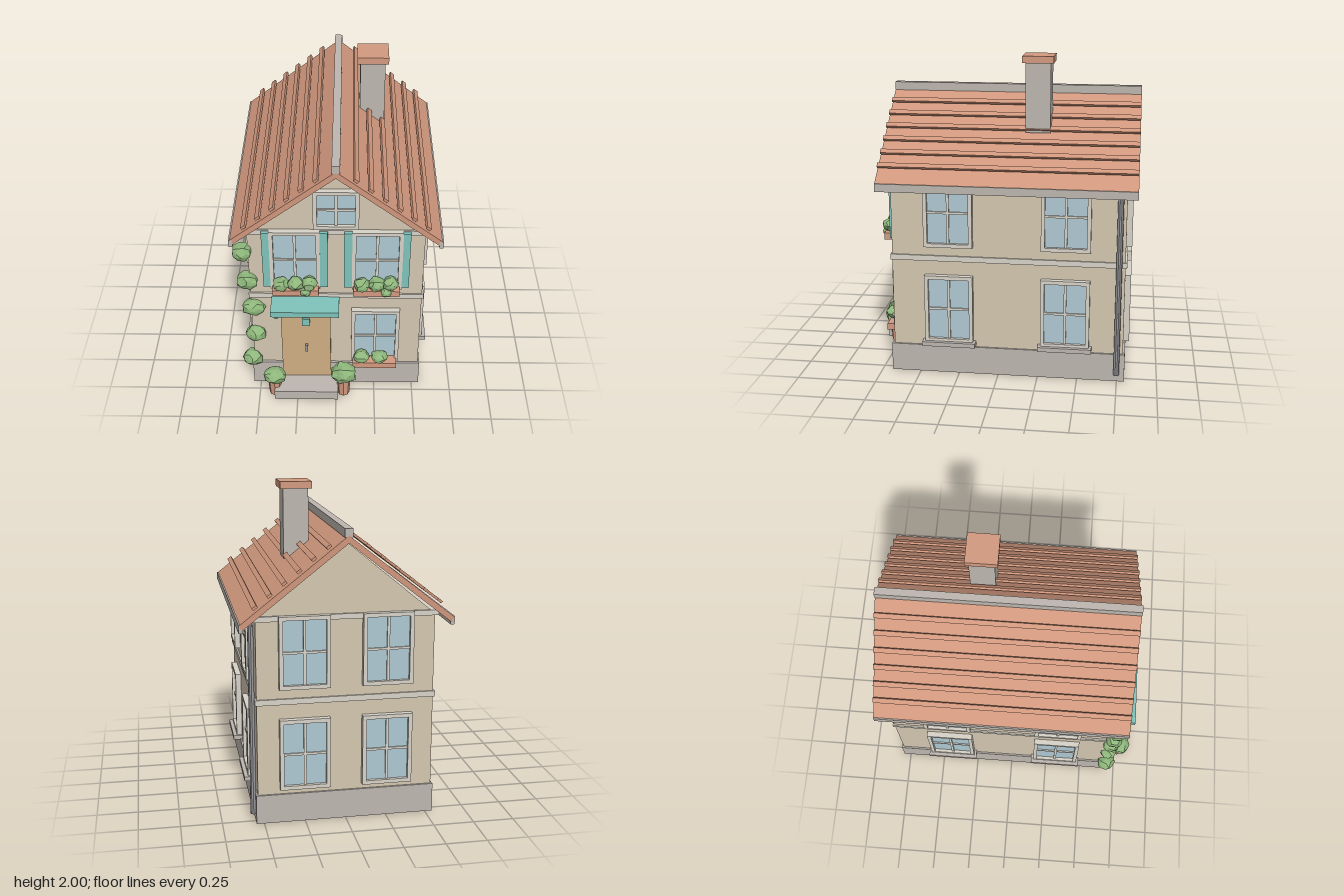
import * as THREE from 'three';

const mat = (color, extra = {}) =>
  Object.assign(new THREE.MeshStandardMaterial({ color, flatShading: true }), extra);
const M = {
  wall: mat(0xd3c7b0), stone: mat(0xbeb7b0), trim: mat(0xd8d3c8), roof: mat(0xcf967c),
  clay: mat(0xd39a80), teal: mat(0x7fc4bb), glass: mat(0xafc9d3), door: mat(0xcfae84),
  leaf: mat(0x8fb87c), metal: mat(0x9a9a9e),
};
const HX = 0.535, ZF = 0.67, ZB = -0.785;      // wall planes
const ROOF_F = 0.744, ROOF_B = -0.85;          // roof ends

function add(parent, name, geo, material, x = 0, y = 0, z = 0) {
  const m = new THREE.Mesh(geo, material);
  m.name = name;
  m.position.set(x, y, z);
  parent.add(m);
  return m;
}

// Box given by its lower and upper corners
function box(parent, name, material, [x0, x1], [y0, y1], [z0, z1]) {
  return add(parent, name, new THREE.BoxGeometry(x1 - x0, y1 - y0, z1 - z0), material,
    (x0 + x1) / 2, (y0 + y1) / 2, (z0 + z1) / 2);
}

// Outline in x,y pushed along z from z0 to z1
function prism(parent, name, material, pts, z0, z1) {
  const shape = new THREE.Shape(pts.map(p => new THREE.Vector2(...p)));
  const geo = new THREE.ExtrudeGeometry(shape, { depth: z1 - z0, bevelEnabled: false });
  return add(parent, name, geo, material, 0, 0, z0);
}

// Window facing +z with its back on the wall plane
function makeWindow(name, w, h, sill) {
  const g = new THREE.Group();
  g.name = name;
  const rect = (path, a, b) => path.moveTo(-a, -b).lineTo(a, -b).lineTo(a, b).lineTo(-a, b).closePath();
  const t = 0.024, iw = w / 2 - t, ih = h / 2 - t;
  const shape = rect(new THREE.Shape(), w / 2, h / 2);
  shape.holes.push(rect(new THREE.Path(), iw, ih));
  add(g, 'windowFrame', new THREE.ExtrudeGeometry(shape, { depth: 0.036, bevelEnabled: false }), M.trim);
  box(g, 'windowGlass', M.glass, [-iw, iw], [-ih, ih], [-0.005, 0.015]);
  box(g, 'mullion', M.trim, [-0.008, 0.008], [-ih, ih], [0.01, 0.025]);
  box(g, 'glazingBar', M.trim, [-iw, iw], [-0.007, 0.007], [0.01, 0.024]);
  if (sill) box(g, 'windowSill', M.stone, [-w / 2 - 0.016, w / 2 + 0.016],
    [-h / 2 - 0.022, -h / 2 + 0.006], [0, 0.06]);
  return g;
}

// Faceted lumpy bush
function bush(parent, name, x, y, z, rx, ry, rz = rx) {
  const geo = new THREE.IcosahedronGeometry(1, 1);
  const p = geo.attributes.position, v = new THREE.Vector3();
  const seed = x * 37 + y * 91;
  for (let i = 0; i < p.count; i++) {
    v.fromBufferAttribute(p, i);
    const n = Math.sin(v.x * 5.1 + seed) * Math.sin(v.y * 4.3 + seed * 1.7) + Math.sin(v.z * 6.7 + seed * 0.6);
    v.multiplyScalar(0.97 + 0.09 * n);
    p.setXYZ(i, v.x * rx, v.y * ry, v.z * rz);
  }
  geo.computeVertexNormals();
  return add(parent, name, geo, M.leaf, x, y, z);
}

function buildShell(house) {
  box(house, 'plinth', M.stone, [-0.546, 0.546], [0, 0.18], [-0.797, 0.686]);
  box(house, 'walls', M.wall, [-HX, HX], [0.18, 1.265], [ZB, ZF]);
  prism(house, 'gables', M.wall, [[-HX, 1.26], [HX, 1.26], [0, 1.7]], ZB, ZF);
  box(house, 'stringCourse', M.trim, [-0.545, 0.545], [0.745, 0.78], [ZB - 0.01, ZF + 0.01]);
  box(house, 'eavesBand', M.trim, [-0.555, 0.555], [1.25, 1.282], [ZB - 0.012, ZF + 0.012]);
}

function buildRoof(house) {
  const top = 1.747, eave = 1.25, run = 0.632, slope = (top - eave) / run;
  const angle = Math.atan(slope), len = ROOF_F - ROOF_B, mid = (ROOF_F + ROOF_B) / 2;
  for (const s of [-1, 1]) {
    const pts = [[0, top], [0, top - 0.045], [s * (run - 0.012), eave - 0.035], [s * run, eave]];
    prism(house, 'roofSlope', M.roof, pts, ROOF_B, ROOF_F);
    for (let i = 0; i < 6; i++) {
      const x = 0.115 + i * 0.0855;
      const b = add(house, 'tileBatten', new THREE.BoxGeometry(0.032, 0.016, len), M.roof,
        s * x, top - slope * x + 0.028, mid);
      b.rotation.z = -s * angle;
    }
    const fx = [s * 0.612, s * 0.637].sort((a, b) => a - b);
    box(house, 'gutter', M.stone, fx, [1.203, 1.253], [ROOF_B, ROOF_F]);
  }
  box(house, 'ridge', M.stone, [-0.024, 0.024], [1.735, 1.787], [ROOF_B, ROOF_F]);
  box(house, 'chimney', M.stone, [0.142, 0.298], [1.525, 1.96], [-0.296, -0.14]);
  box(house, 'chimneyFoot', M.stone, [0.142, 0.27], [1.44, 1.525], [-0.296, -0.14]);
  box(house, 'chimneyCap', M.clay, [0.123, 0.318], [1.957, 2], [-0.315, -0.12]);
}

function buildWindows(house) {
  const place = (name, x, y, z, turn, sill = false, w = 0.305, h = 0.44) => {
    const win = makeWindow(name, w, h, sill);
    win.position.set(x, y, z);
    win.rotation.y = turn;
    house.add(win);
  };
  for (const y of [0.435, 1.062]) {
    const low = y < 0.7;
    for (const s of [-1, 1]) {
      place('backWindow', s * 0.25, y, ZB, Math.PI);
      for (const z of [0.31, -0.42]) place('sideWindow', s * HX, y, z, s * Math.PI / 2, low);
      if (!low || s > 0) place('frontWindow', s * 0.25, y, ZF, 0);
    }
  }
  place('atticWindow', 0, 1.442, ZF, 0, false, 0.272, 0.272);

  // Shutters and planted boxes on the front
  for (const s of [-1, 1]) {
    for (const d of [-0.166, 0.166]) {
      const x = s * 0.248 + d;
      box(house, 'shutter', M.teal, [x - 0.033, x + 0.033], [0.855, 1.275], [ZF, 0.703]);
    }
    const cx = s * 0.248;
    planter(house, cx, 0.825);
    [[-0.09, 0.9], [0, 0.905], [0.085, 0.91], [0.06, 0.858]].forEach(([dx, y], i) =>
      bush(house, 'boxPlant', cx + dx, y, i === 3 ? 0.75 : 0.728, i === 3 ? 0.034 : 0.051, i === 3 ? 0.03 : 0.044));
  }
  planter(house, 0.248, 0.205);
  for (const x of [0.163, 0.28]) bush(house, 'boxPlant', x, 0.29, 0.735, 0.055, 0.04, 0.05);
}

function planter(house, x, y) {
  box(house, 'flowerBox', M.clay, [x - 0.142, x + 0.142], [y, y + 0.043], [ZF, 0.755]);
}

function buildEntrance(house) {
  box(house, 'doorStep', M.stone, [-0.4, 0.015], [0, 0.07], [0.68, 0.843]);
  box(house, 'door', M.door, [-0.35, -0.035], [0.07, 0.668], [ZF, 0.695]);
  box(house, 'doorLintel', M.trim, [-0.385, 0.005], [0.668, 0.712], [ZF, 0.705]);
  box(house, 'doorCanopy', M.teal, [-0.403, 0.02], [0.716, 0.755], [ZF, 0.828]);
  box(house, 'doorPane', M.teal, [-0.217, -0.167], [0.527, 0.585], [0.69, 0.705]);
  box(house, 'doorHandle', M.metal, [-0.199, -0.183], [0.305, 0.362], [0.69, 0.712]);

  // Lantern beside the door
  box(house, 'lanternArm', M.trim, [-0.388, -0.38], [0.635, 0.716], [0.715, 0.725]);
  box(house, 'lanternBracket', M.teal, [-0.385, -0.372], [0.622, 0.64], [ZF, 0.73]);
  add(house, 'lantern', new THREE.SphereGeometry(0.018, 8, 6), M.teal, -0.376, 0.633, 0.73);

  // Potted shrubs either side of the step
  for (const x of [-0.4, 0.05]) {
    add(house, 'plantPot', new THREE.CylinderGeometry(0.046, 0.038, 0.13, 8), M.clay, x, 0.065, 0.772);
  }
  bush(house, 'pottedShrub', -0.4, 0.16, 0.785, 0.075, 0.055, 0.065);
  bush(house, 'pottedShrub', 0.052, 0.19, 0.785, 0.086, 0.07, 0.07);
}

export function createModel() {
  const house = new THREE.Group();
  house.name = 'house';
  buildShell(house);
  buildRoof(house);
  buildWindows(house);
  buildEntrance(house);

  // Climbing plant on the front corner
  [[-0.57, 1.115], [-0.548, 0.89], [-0.52, 0.668], [-0.512, 0.443], [-0.545, 0.224]].forEach(([x, y], i) =>
    bush(house, 'climberLeaves', x, y, 0.68, [0.062, 0.07, 0.078, 0.068, 0.066][i], 0.057, 0.062));

  // Rear corner drainpipe
  add(house, 'drainpipe', new THREE.CylinderGeometry(0.018, 0.018, 1.17, 10), M.metal, 0.56, 0.635, -0.747);
  return house;
}
